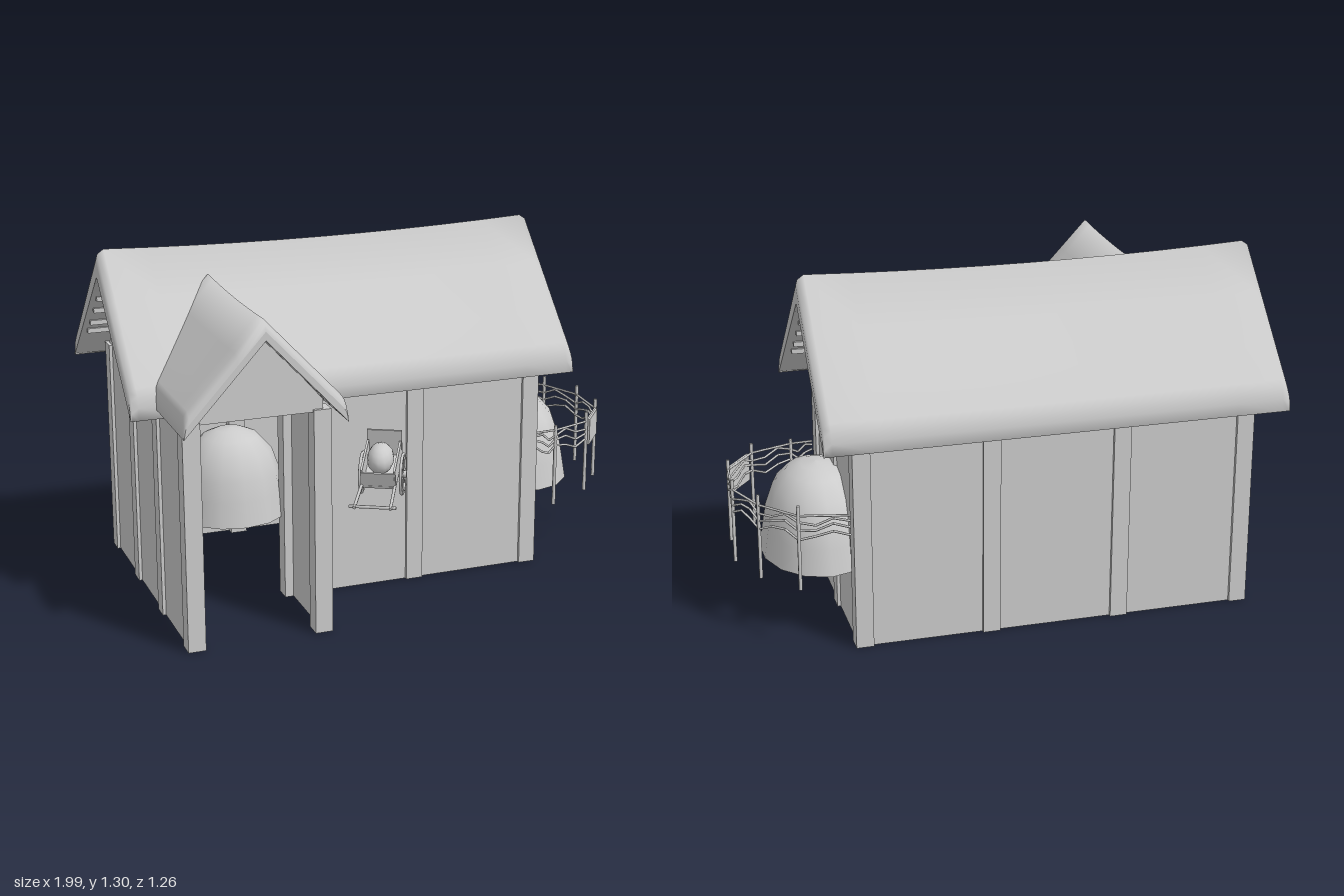
import * as THREE from 'three';

const mat = new THREE.MeshStandardMaterial({ color: 0xcccccc });
const thin = new THREE.MeshStandardMaterial({ color: 0xcccccc, side: THREE.DoubleSide });
const V = (x, y, z) => new THREE.Vector3(x, y, z);

function add(parent, name, geo, x = 0, y = 0, z = 0, m = mat) {
  const mesh = new THREE.Mesh(geo, m);
  mesh.name = name;
  mesh.position.set(x, y, z);
  parent.add(mesh);
  return mesh;
}
const box = (parent, name, w, h, d, x, y, z) =>
  add(parent, name, new THREE.BoxGeometry(w, h, d), x, y, z);

// Round bar between two points
function bar(parent, name, a, b, r) {
  const dir = b.clone().sub(a);
  const m = add(parent, name, new THREE.CylinderGeometry(r, r, dir.length(), 6));
  m.position.copy(a).add(b).multiplyScalar(0.5);
  m.quaternion.setFromUnitVectors(V(0, 1, 0), dir.normalize());
}

// Thick thatched chevron running along z, sagging in the middle, with rounded rims
function roofGeometry(z0, z1, half, top, slope, under, eave, sag) {
  const rows = [0, 0.35, 0.7, 0.93, 0.975, 1];
  const dips = [0, 0, 0, 0, 0.004, 0.035];
  const side = [...rows.keys()];
  const cols = [...side.slice(1).reverse().map(i => [i, 1]), ...side.map(i => [i, -1])];
  const outer = cols.map(([i, s]) => [s * half * rows[i], top - slope * half * rows[i] - dips[i], 1]);
  const inner = cols.map(([i, s]) => [s * half * rows[i], under + (eave - under) * rows[i], 0]);
  const ring = [...outer, ...inner.reverse()];
  const n = ring.length;
  const stations = [[0, 0.04], [0.006, 0.018], [0.03, 0]];
  const len = z1 - z0;
  const zs = [...stations.map(([d, e]) => [z0 + d, e])];
  for (let i = 1; i < 10; i++) zs.push([z0 + 0.03 + (len - 0.06) * i / 10, 0]);
  zs.push(...stations.slice().reverse().map(([d, e]) => [z1 - d, e]));
  const pos = [], idx = [];
  const pushRing = ([z, inset]) => ring.forEach(([x, y, isOuter]) => {
    const t = (z - z0) / len * 2 - 1;
    const droop = sag * (1 - t * t) * (y - eave) / (top - eave);
    pos.push(x, y - droop - inset * isOuter, z);
  });
  zs.forEach(pushRing);
  for (let k = 0; k < zs.length - 1; k++)
    for (let j = 0; j < n; j++) {
      const a = k * n + j, b = k * n + (j + 1) % n;
      idx.push(a, b, b + n, a, b + n, a + n);
    }
  // end caps
  [zs[0], zs[zs.length - 1]].forEach((s, end) => {
    const o = pos.length / 3;
    pushRing(s);
    for (let i = 0; i < n / 2 - 1; i++) {
      const a = o + i, b = a + 1, d = o + n - 1 - i, c = d - 1;
      if (end) idx.push(a, b, c, a, c, d);
      else idx.push(a, c, b, a, d, c);
    }
  });
  const g = new THREE.BufferGeometry();
  g.setAttribute('position', new THREE.Float32BufferAttribute(pos, 3));
  g.setIndex(idx);
  g.computeVertexNormals();
  return g;
}

// Extruded wall panel from outline points
function panel(points, depth) {
  const shape = new THREE.Shape(points.map(p => new THREE.Vector2(...p)));
  return new THREE.ExtrudeGeometry(shape, { depth, bevelEnabled: false });
}

// Spoked wheel facing z
function wheel(name, r) {
  const g = new THREE.Group();
  g.name = name;
  add(g, 'rim', new THREE.TorusGeometry(r - 0.006, 0.006, 6, 20));
  const hub = add(g, 'hub', new THREE.CylinderGeometry(0.013, 0.013, 0.03, 10));
  hub.rotation.x = Math.PI / 2;
  for (let i = 0; i < 4; i++) {
    const a = i * Math.PI / 4, c = Math.cos(a) * (r - 0.006), s = Math.sin(a) * (r - 0.006);
    bar(g, 'spoke', V(-c, -s, 0), V(c, s, 0), 0.0035);
  }
  return g;
}

function buildCart() {
  const cart = new THREE.Group();
  cart.name = 'cart';
  for (const s of [-1, 1]) {
    const w = wheel('cartWheel', 0.08);
    w.rotation.y = Math.PI / 2;
    w.position.x = s * 0.075;
    cart.add(w);
    bar(cart, 'shaft', V(s * 0.055, 0.03, -0.1), V(s * 0.065, -0.035, 0.28), 0.006);
  }
  bar(cart, 'axle', V(-0.08, 0, 0), V(0.08, 0, 0), 0.006);
  bar(cart, 'crossbar', V(-0.085, -0.033, 0.27), V(0.085, -0.033, 0.27), 0.006);
  const body = new THREE.Group();
  body.name = 'cartBody';
  body.rotation.x = 0.3;
  cart.add(body);
  box(body, 'floor', 0.12, 0.01, 0.2, 0, 0.025, 0.02);
  for (const s of [-1, 1]) box(body, 'sideBoard', 0.008, 0.07, 0.19, s * 0.06, 0.06, 0.02);
  box(body, 'frontBoard', 0.12, 0.06, 0.008, 0, 0.055, 0.115);
  box(body, 'tailBoard', 0.13, 0.1, 0.008, 0, 0.08, -0.085).rotation.x = -0.15;
  const sack = add(body, 'sack', new THREE.SphereGeometry(0.055, 12, 8), 0, 0.09, 0.03);
  sack.scale.set(0.9, 1, 1.25);
  cart.position.set(-0.08, 0.5, 0.34);
  cart.rotation.y = -0.5;
  return cart;
}

function buildFence() {
  const fence = new THREE.Group();
  fence.name = 'fence';
  const path = [[0.62, 0.18], [0.705, 0.175], [0.865, 0.12], [0.975, -0.02],
    [0.988, -0.21], [0.92, -0.375], [0.8, -0.51], [0.62, -0.55]];
  path.slice(1, -1).forEach(([x, z], i) =>
    bar(fence, 'fencePost', V(x, i ? 0.235 : 0.215, z), V(x, i ? 0.56 : 0.54, z), 0.007));
  // crooked rails, each span split into three
  [0.522, 0.5, 0.475, 0.445].forEach((y, r) => {
    const pts = [];
    path.slice(0, -1).forEach(([x, z], i) => {
      const [x2, z2] = path[i + 1];
      for (let k = 0; k < 3; k++) {
        const wob = r ? 0.017 * Math.sin((i * 3 + k) * 1.9 + r * 0.5) : 0;
        pts.push(V(x + (x2 - x) * k / 3, y + wob, z + (z2 - z) * k / 3));
      }
    });
    pts.push(V(0.62, y, -0.55));
    pts.slice(1).forEach((p, i) => bar(fence, 'fenceRail', pts[i], p, 0.0045));
  });
  const board = box(fence, 'fenceBoard', 0.012, 0.105, 0.148, 0.927, 0.472, 0.05);
  board.rotation.y = Math.atan2(-0.11, 0.14);
  return fence;
}

// Domed haystack, open below
function haystack(parent, x, y, z, rx, rz, h) {
  const profile = [[1, 0], [0.93, 0.28], [0.87, 0.5], [0.74, 0.74], [0.5, 0.91], [0.25, 0.98], [0, 1]];
  const g = new THREE.LatheGeometry(profile.map(p => new THREE.Vector2(...p)), 14);
  add(parent, 'haystack', g, x, y, z, thin).scale.set(rx, h, rz);
}

export function createModel() {
  const model = new THREE.Group();

  // Roofs
  const main = add(model, 'mainRoof', roofGeometry(-1, 0.725, 0.45, 1.305, 0.98, 1.2, 0.782, 0.022), 0, 0, -0.183);
  main.rotation.y = Math.PI / 2;
  main.position.x = 0;
  add(model, 'porchRoof', roofGeometry(-0.1, 0.625, 0.295, 1.207, 1.08, 1.135, 0.815, 0.01), -0.61);

  // Timber posts
  const post = (x, z, h = 0.845) => box(model, 'post', 0.065, h, 0.065, x, h / 2, z);
  for (const x of [0.58, 0.105, -0.385, -0.86]) {
    post(x, -0.53);
    post(x, 0.17);
  }
  for (const x of [0.58, -0.86]) post(x, -0.18, 1.19);
  for (const x of [-0.385, -0.86]) post(x, 0.52);

  // Walls
  const h = 0.83, t = 0.02;
  box(model, 'backWall', 1.45, h, t, -0.14, h / 2, -0.54);
  box(model, 'frontWall', 0.965, h, t, 0.0975, h / 2, 0.18);
  box(model, 'porchWall', t, h, 0.35, -0.375, h / 2, 0.345);
  box(model, 'porchWall', t, h, 0.35, -0.87, h / 2, 0.345);
  const gable = [[-0.55, 0], [0.185, 0], [0.185, 0.84], [-0.183, 1.21], [-0.55, 0.84]];
  for (const x of [0.6, -0.86])
    add(model, 'gableWall', panel(gable, t), x).rotation.y = -Math.PI / 2;
  add(model, 'porchGable', panel([[-0.25, 0.835], [0.23, 0.835], [0.23, 0.88], [0, 1.15], [-0.25, 0.87]], t), -0.61, 0, 0.52);

  // Purlin ends under the overhangs
  for (const s of [-1, 1])
    for (const [d, y] of [[0.11, 1.09], [0.17, 1.03], [0.24, 0.965], [0.29, 0.92]])
      for (const [x, w] of [[0.64, 0.12], [-0.93, 0.1]])
        box(model, 'purlin', w, 0.018, 0.018, x, y, -0.183 + s * d);

  // Hay, fence, cart and loose wheel
  haystack(model, 0.675, 0.25, -0.185, 0.215, 0.283, 0.34);
  haystack(model, -0.57, 0.31, 0.03, 0.21, 0.2, 0.33);
  model.add(buildFence(), buildCart());
  const spare = wheel('spareWheel', 0.08);
  spare.position.set(-0.31, 0.515, 0.24);
  spare.rotation.set(-0.15, 0.78, 0);
  model.add(spare);
  return model;
}
